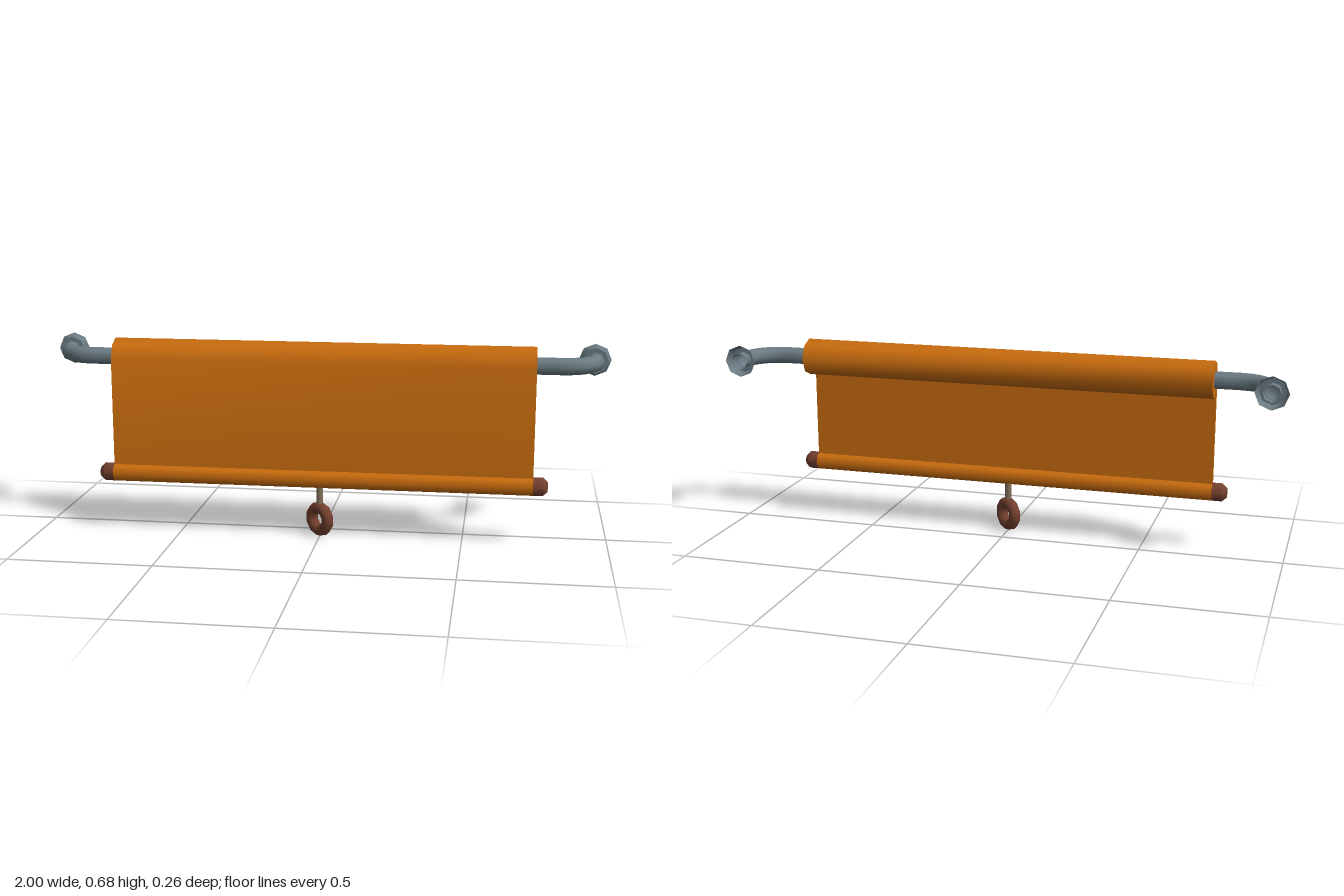
import * as THREE from 'three';
import { toCreasedNormals } from 'three/addons/utils/BufferGeometryUtils.js';

const mat = (name, color, side = THREE.FrontSide) => {
  const m = new THREE.MeshStandardMaterial({ color, side });
  m.name = name;
  return m;
};

export function createModel() {
  const model = new THREE.Group();
  model.name = 'rollerBlind';
  const fabric = mat('orange fabric', 0xc96c0e);
  const metal = mat('grey metal', 0x6c7c84, THREE.DoubleSide);
  const wood = mat('brown wood', 0x74402f);
  const cord = mat('tan cord', 0x84715b);

  const add = (name, geometry, material, parent = model) => {
    const mesh = new THREE.Mesh(geometry, material);
    mesh.name = name;
    parent.add(mesh);
    return mesh;
  };

  const halfWidth = 0.74, rollY = 0.62, rollZ = 0.03, rollR = 0.066;
  const barY = 0.21, barZ = 0.088, barR = 0.033;

  // Octagonal roll and hanging sheet share one profile, drawn as (z, y)
  const profile = [[0.096, 0.2], [0.08, 0.2], [0.08, 0.572]];
  const outline = profile.map(([z, y]) => new THREE.Vector2(z, y));
  for (let i = 6; i >= 0; i--) {
    const a = -Math.PI / 2 - (6 - i) * Math.PI / 4;
    outline.push(new THREE.Vector2(rollZ + rollR * Math.cos(a), rollY + rollR * Math.sin(a)));
  }
  const sheet = new THREE.ExtrudeGeometry(new THREE.Shape(outline.reverse()), {
    depth: halfWidth * 2, bevelEnabled: false,
  });
  sheet.translate(0, 0, -halfWidth).rotateY(-Math.PI / 2);
  add('rolledSheet', toCreasedNormals(sheet, 0.95), fabric);

  // Hem around the bottom bar
  const hem = new THREE.CylinderGeometry(barR, barR, halfWidth * 2, 8);
  hem.rotateX(Math.PI / 2).rotateY(Math.PI / 2);
  add('bottomHem', hem, fabric).position.set(0, barY, barZ);

  // Tapered bar ends, pipe brackets and wall flanges on both sides
  const corner = 0.115, wallX = 0.943;
  for (const s of [1, -1]) {
    const side = s > 0 ? 'left' : 'right';
    const cap = new THREE.LatheGeometry([[barR, 0], [barR, 0.034], [0.018, 0.05], [0, 0.05]]
      .map(([r, h]) => new THREE.Vector2(r, h)), 8);
    cap.rotateZ(-s * Math.PI / 2);
    add(side + 'BarEnd', toCreasedNormals(cap, 0.95), wood).position.set(s * halfWidth, barY, barZ);

    const bracket = new THREE.Group();
    bracket.name = side + 'Bracket';
    model.add(bracket);

    // Pipe leaves the roll, turns a quarter circle and meets the wall
    const points = [new THREE.Vector3(s * 0.7, rollY, rollZ), new THREE.Vector3(s * 0.77, rollY, rollZ)];
    for (let i = 0; i <= 4; i++) {
      const a = i * Math.PI / 8;
      points.push(new THREE.Vector3(
        s * (wallX - corner + corner * Math.sin(a)), rollY, rollZ - corner + corner * Math.cos(a)));
    }
    points.push(new THREE.Vector3(s * wallX, rollY, -0.131));
    const path = new THREE.CatmullRomCurve3(points);
    add('pipe', new THREE.TubeGeometry(path, 18, 0.03, 8, false), metal, bracket);

    // Hollow flange flaring towards the wall
    const flange = new THREE.LatheGeometry([[0.028, 0], [0.046, 0], [0.057, 0.03]]
      .map(([r, h]) => new THREE.Vector2(r, h)), 8);
    flange.rotateX(-Math.PI / 2);
    add('flange', toCreasedNormals(flange, 0.95), metal, bracket).position.set(s * wallX, rollY, -0.095);
  }

  // Pull cord and turned ring
  add('pullCord', new THREE.CylinderGeometry(0.012, 0.012, 0.09, 8), cord).position.set(0, 0.15, barZ);
  const ring = new THREE.TorusGeometry(0.0415, 0.021, 8, 10).rotateZ(Math.PI / 10);
  ring.rotateY(-0.7);
  add('pullRing', ring, wood).position.set(0, 0.0645, barZ);

  return model;
}
